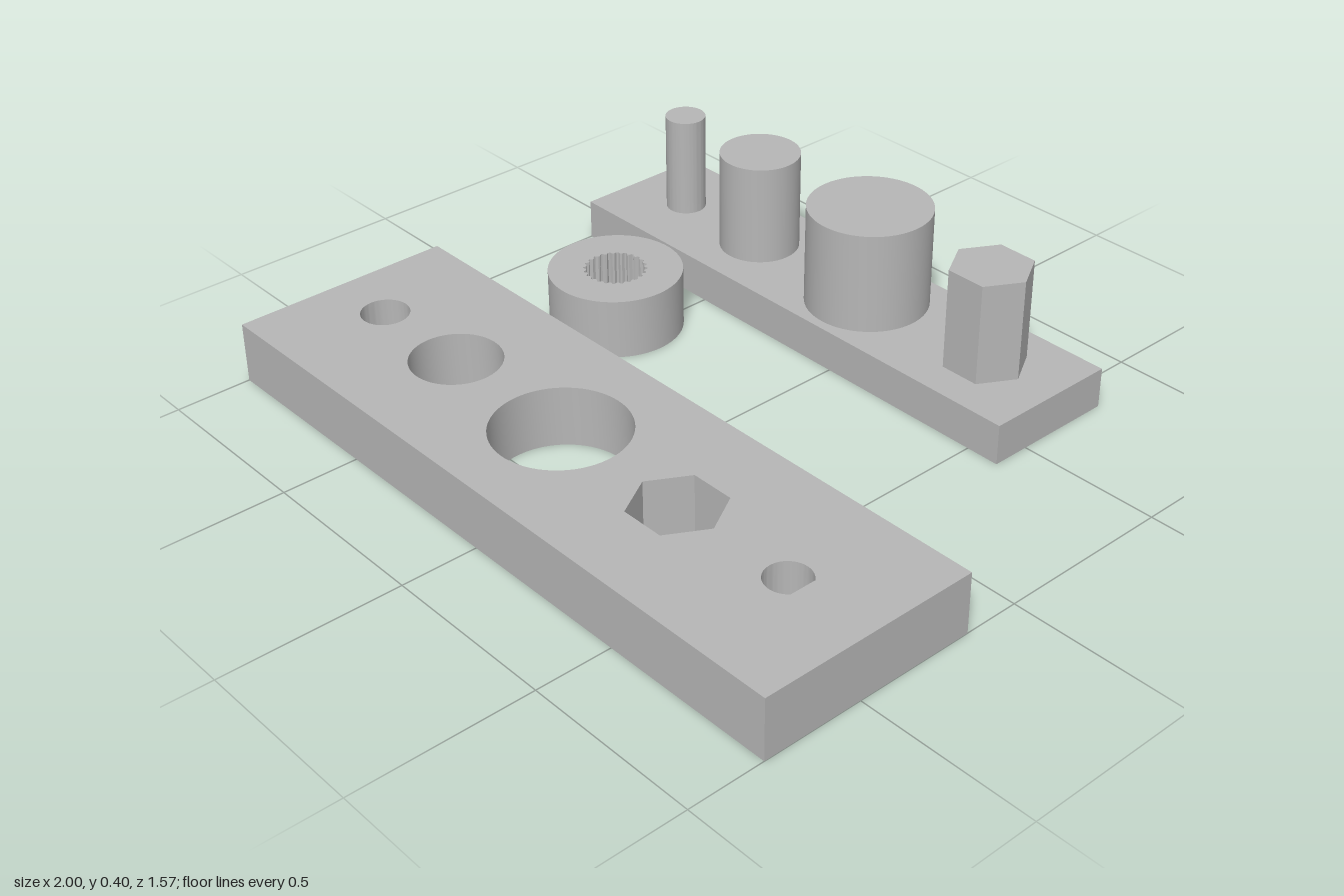
import * as THREE from 'three';
import { toCreasedNormals } from 'three/addons/utils/BufferGeometryUtils.js';

const grey = new THREE.MeshStandardMaterial({ color: 0xb6b6b6 });
grey.name = 'plain grey';

// Regular outline of n corners; many corners make a circle
function polygon(x, y, r, n = 64) {
  const pts = [];
  for (let i = 0; i < n; i++) {
    const a = (i / n) * Math.PI * 2;
    pts.push(new THREE.Vector2(x + r * Math.cos(a), y + r * Math.sin(a)));
  }
  return pts;
}

// Circle cut by a flat on its +x side
function dOutline(x, y, r, flat) {
  const a = Math.acos(flat / r), n = 48, pts = [];
  for (let i = 0; i <= n; i++) {
    const t = a + (i / n) * (Math.PI * 2 - 2 * a);
    pts.push(new THREE.Vector2(x + r * Math.cos(t), y + r * Math.sin(t)));
  }
  return pts;
}

// Toothed circle for the splined bore
function splineOutline(rOuter, rInner, teeth) {
  return polygon(0, 0, 1, teeth * 4).map((p, i) => p.multiplyScalar(i % 4 < 2 ? rOuter : rInner));
}

// Upright solid from an outline (with optional holes), from y0 to y1
function solid(name, outline, y0, y1, holes = []) {
  const shape = new THREE.Shape(outline);
  for (const h of holes) shape.holes.push(new THREE.Path(h));
  const geo = new THREE.ExtrudeGeometry(shape, { depth: y1 - y0, bevelEnabled: false });
  geo.rotateX(-Math.PI / 2);
  geo.translate(0, y0, 0);
  const mesh = new THREE.Mesh(toCreasedNormals(geo, 0.5), grey);
  mesh.name = name;
  return mesh;
}

function rectangle(x0, x1, halfDepth) {
  return [[x0, -halfDepth], [x1, -halfDepth], [x1, halfDepth], [x0, halfDepth]]
    .map(([x, y]) => new THREE.Vector2(x, y));
}

export function createModel() {
  const model = new THREE.Group();
  model.name = 'fitTestSet';

  // name, x, peg radius, hole radius, number of sides
  const fits = [
    ['small', -0.8, 0.057, 0.066, 64],
    ['medium', -0.487, 0.113, 0.123, 64],
    ['large', -0.06, 0.171, 0.181, 64],
    ['hex', 0.37, 0.114, 0.125, 6],
  ];

  // Front plate with matching through holes and one D-shaped hole
  const holes = fits.map(([, x, , r, n]) => polygon(x, 0, r, n));
  holes.push(dOutline(0.74, 0, 0.06, 0.047));
  const holePlate = solid('holePlate', rectangle(-1, 1, 0.314), 0, 0.172, holes);
  holePlate.position.z = 0.472;
  model.add(holePlate);

  // Rear plate carrying the pegs
  const pegBoard = new THREE.Group();
  pegBoard.name = 'pegBoard';
  pegBoard.position.z = -0.588;
  pegBoard.add(solid('pegPlate', rectangle(-1, 0.597, 0.198), 0, 0.115));
  for (const [name, x, r, , n] of fits) {
    pegBoard.add(solid(name + 'Peg', polygon(x, 0, r, n), 0.115, 0.402));
  }
  model.add(pegBoard);

  // Round knob with a blind splined bore
  const knob = new THREE.Group();
  knob.name = 'knob';
  knob.position.set(-0.573, 0, -0.13);
  const bore = splineOutline(0.087, 0.08, 24);
  knob.add(solid('knobBody', polygon(0, 0, 0.185, 96), 0, 0.172, [bore]));
  knob.add(solid('knobFloor', bore, 0, 0.05));
  model.add(knob);

  return model;
}
